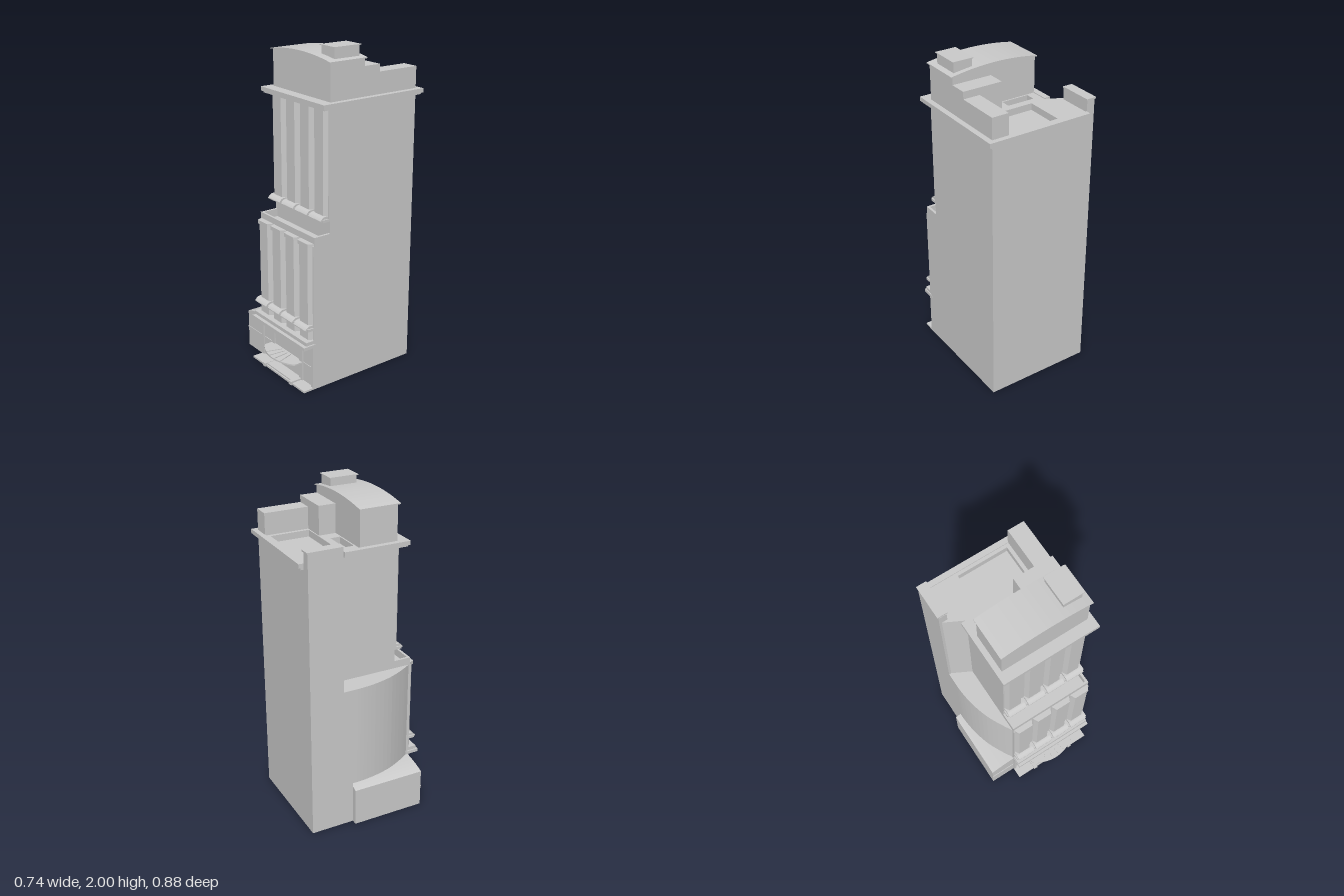
import * as THREE from 'three';

const mat = new THREE.MeshStandardMaterial({ color: 0xcccccc, flatShading: true, side: THREE.DoubleSide });

export function createModel() {
  const model = new THREE.Group();

  const add = (name, geo) => {
    const mesh = new THREE.Mesh(geo, mat);
    mesh.name = name;
    model.add(mesh);
    return mesh;
  };

  // Box given by its limits
  const box = (name, x0, x1, y0, y1, z0, z1) =>
    add(name, new THREE.BoxGeometry(x1 - x0, y1 - y0, z1 - z0)
      .translate((x0 + x1) / 2, (y0 + y1) / 2, (z0 + z1) / 2));

  // Plan outline as [x, z] pairs, raised from y0 to y1
  const toVec = (p) => p.map(([x, z]) => new THREE.Vector2(x, -z));
  const rect = (x0, x1, z0, z1) => [[x0, z0], [x1, z0], [x1, z1], [x0, z1]];
  const plan = (outline, y0, y1, holes = []) => {
    const shape = new THREE.Shape(toVec(outline));
    holes.forEach((h) => shape.holes.push(new THREE.Path(toVec(h))));
    return new THREE.ExtrudeGeometry(shape, { depth: y1 - y0, bevelEnabled: false })
      .rotateX(-Math.PI / 2).translate(0, y0, 0);
  };

  // Front profile in x, y, extruded from z0 to z1
  const profile = (shape, z0, z1) =>
    new THREE.ExtrudeGeometry(shape, { depth: z1 - z0, bevelEnabled: false, curveSegments: 14 }).translate(0, 0, z0);

  // Leaves a shell open on the given planes, each an [axis, value] pair
  const open = (geo, ...planes) => {
    const p = geo.attributes.position, keep = [];
    for (let i = 0; i < p.count; i += 3) {
      const tri = [...p.array.slice(i * 3, i * 3 + 9)];
      const lies = ([axis, v]) => [0, 3, 6].every((k) => Math.abs(tri[k + axis] - v) < 1e-4);
      if (!planes.some(lies)) keep.push(...tri);
    }
    const out = new THREE.BufferGeometry();
    out.setAttribute('position', new THREE.Float32BufferAttribute(keep, 3));
    out.computeVertexNormals();
    return out;
  };

  // Ground floor walls, open below and towards the podium
  const base = [[-0.335, -0.41], [0.335, -0.41], [0.335, 0.318], [-0.205, 0.318], [-0.205, -0.14], [-0.335, -0.14]];
  add('groundFloorWalls', open(plan(base, 0, 0.277), [1, 0], [1, 0.277], [0, -0.205]));

  // Side podium with a rounded roof edge
  const pod = new THREE.Shape();
  pod.moveTo(-0.205, 0);
  pod.lineTo(-0.37, 0);
  pod.lineTo(-0.37, 0.24);
  pod.quadraticCurveTo(-0.31, 0.265, -0.205, 0.275);
  add('sidePodium', open(profile(pod, -0.14, 0.318), [1, 0], [0, -0.205]));

  // Lower body with the bowed side wall
  const bow = new THREE.CatmullRomCurve3([
    [-0.205, 0.305], [-0.235, 0.255], [-0.29, 0.14], [-0.322, 0.02], [-0.334, -0.08], [-0.335, -0.15]
  ].map(([x, z]) => new THREE.Vector3(x, 0, z))).getPoints(18).map((v) => [v.x, v.z]);
  const lower = [[-0.335, -0.41], [0.335, -0.41], [0.335, 0.315], [-0.205, 0.315], ...bow];
  add('lowerBody', open(plan(lower, 0.275, 0.91), [1, 0.275]));

  // Terrace parapet around the setback
  add('terraceParapet', plan([[-0.205, 0.2], [-0.205, 0.315], [0.335, 0.315], [0.335, 0.2],
    [0.32, 0.2], [0.32, 0.3], [-0.19, 0.3], [-0.19, 0.2]], 0.905, 0.957));

  // Upper tower and the roof deck with sunken areas
  const upper = [[-0.335, -0.41], [0.335, -0.41], [0.335, 0.205], [-0.205, 0.205],
    [-0.205, -0.14], [-0.32, -0.2], [-0.335, -0.2]];
  add('upperTower', open(plan(upper, 0.91, 1.665), [1, 0.91]));
  const wells = [rect(-0.105, 0.21, -0.385, -0.145), rect(-0.15, 0.02, -0.1, -0.041)];
  add('roofDeck', plan(upper, 1.665, 1.705, wells));

  // Stepped cornice around the tower
  const cornice = (g) => [[-0.285, -0.44 + g], [0.368 - g, -0.44 + g], [0.368 - g, 0.273 - g],
    [-0.237 + g, 0.273 - g], [-0.237 + g, -0.14], [-0.2, -0.14], [-0.2, 0.2],
    [0.33, 0.2], [0.33, -0.405], [-0.285, -0.405]];
  add('corniceLower', plan(cornice(0.01), 1.675, 1.685));
  add('corniceUpper', plan(cornice(0), 1.685, 1.71));

  // Corner parapet
  box('cornerParapet', -0.335, -0.285, 1.67, 1.775, -0.41, -0.2);
  box('cornerParapetCap', -0.34, -0.278, 1.775, 1.785, -0.416, -0.202);

  // Stepped roof blocks
  box('rearRoofBlock', 0.232, 0.335, 1.7, 1.837, -0.41, -0.135);
  box('middleRoofBlock', 0.09, 0.335, 1.7, 1.88, -0.138, -0.03);

  // Crown with a gently arched roof
  const arched = (x0, x1, lift, bottom) => {
    const top = [];
    for (let i = 0; i <= 16; i++) {
      const x = x0 + (x1 - x0) * i / 16;
      top.push(new THREE.Vector2(x, 1.955 + lift - 0.024 * ((x - 0.065) / 0.27) ** 2));
    }
    return new THREE.Shape([...top, ...bottom(top)]);
  };
  const flatBase = () => [new THREE.Vector2(0.335, 1.7), new THREE.Vector2(-0.205, 1.7)];
  const thinBase = (top) => top.map((p) => new THREE.Vector2(p.x, p.y - 0.006)).reverse();
  add('crown', profile(arched(-0.205, 0.335, -0.004, flatBase), -0.032, 0.205));
  add('crownRoof', profile(arched(-0.215, 0.346, 0, thinBase), -0.04, 0.217));
  box('roofHut', 0.196, 0.312, 1.92, 1.995, -0.01, 0.16);
  box('roofHutCap', 0.189, 0.319, 1.995, 2, -0.016, 0.167);

  // Four bays on each facade, with curved sills and brackets between
  const bays = [0, 1, 2, 3].map((i) => -0.1375 + i * 0.135);
  const bay = (c, z, wide, narrow, depth) => [[c - wide, z - 0.01], [c - wide, z], [c - narrow, z + depth],
    [c + narrow, z + depth], [c + wide, z], [c + wide, z - 0.01]];
  const reach = 0.06;
  const sillShape = new THREE.Shape();
  sillShape.moveTo(0, 0);
  sillShape.lineTo(reach, 0);
  sillShape.lineTo(reach, 0.006);
  sillShape.quadraticCurveTo(reach * 0.75, 0.027, reach * 0.45, 0.027);
  sillShape.lineTo(0, 0.027);
  const facade = (name, z, y0, y1, sill) => {
    for (const c of bays) {
      add(name + 'Bay', plan(bay(c, z, 0.056, 0.04, 0.028), y0, y1));
      add(name + 'Sill', new THREE.ExtrudeGeometry(sillShape, { depth: 0.118, bevelEnabled: false, curveSegments: 6 })
        .rotateY(-Math.PI / 2).translate(c + 0.059, sill, z));
    }
    for (let i = 0; i < 5; i++) {
      const x = Math.min(0.327, Math.max(-0.197, -0.205 + i * 0.135));
      box(name + 'Bracket', x - 0.008, x + 0.008, sill - 0.004, sill + 0.012, z - 0.005, z + reach * 0.8);
    }
    // Slim end strips
    box(name + 'EndStrip', -0.205, -0.198, y0, y1, z - 0.01, z + 0.008);
    box(name + 'EndStrip', 0.328, 0.335, y0, y1, z - 0.01, z + 0.008);
  };
  facade('upper', 0.205, 1.04, 1.68, 1.035);
  facade('lower', 0.315, 0.32, 0.905, 0.39);
  for (const c of bays) add('bayCap', plan(bay(c, 0.315, 0.063, 0.047, 0.034), 0.897, 0.92));

  // Ledges above the ground floor
  box('upperLedge', -0.205, 0.335, 0.3, 0.322, 0.3, 0.375);
  box('lowerLedge', -0.207, 0.337, 0.275, 0.295, 0.3, 0.392);

  // Ground floor pilasters and bands
  for (const [x0, x1] of [[-0.205, -0.185], [-0.095, -0.065], [0.195, 0.225], [0.315, 0.335]]) {
    box('pilaster', x0, x1, 0, 0.275, 0.31, 0.328);
  }
  box('entranceLintel', -0.065, 0.195, 0.205, 0.213, 0.31, 0.323);
  for (const [x0, x1] of [[-0.37, -0.205], [-0.185, -0.095], [0.225, 0.315]]) {
    box('wallBand', x0, x1, 0.128, 0.136, 0.31, 0.322);
  }

  // Curved entrance canopy with ribs
  const arc = [];
  for (let i = 0; i <= 14; i++) {
    const x = -0.095 + 0.32 * i / 14;
    arc.push([x, 0.187 + Math.sqrt(0.0625 - (x - 0.065) ** 2)]);
  }
  add('canopy', plan([[0.225, 0.31], [-0.095, 0.31], ...arc], 0.126, 0.135));
  for (const a of [-0.3, -0.1, 0.1, 0.3]) {
    const rib = add('canopyRib', new THREE.BoxGeometry(0.005, 0.006, 0.1).translate(0, 0.137, 0.197));
    rib.position.set(0.065, 0, 0.187);
    rib.rotation.y = a;
  }

  // Entrance plinth and step
  box('plinth', -0.205, 0.335, 0, 0.012, 0.31, 0.394);
  box('entranceStep', -0.065, 0.19, 0, 0.02, 0.31, 0.385);
  box('stepCheek', -0.088, -0.063, 0, 0.022, 0.31, 0.402);
  box('stepCheek', 0.19, 0.215, 0, 0.022, 0.31, 0.402);

  return model;
}
